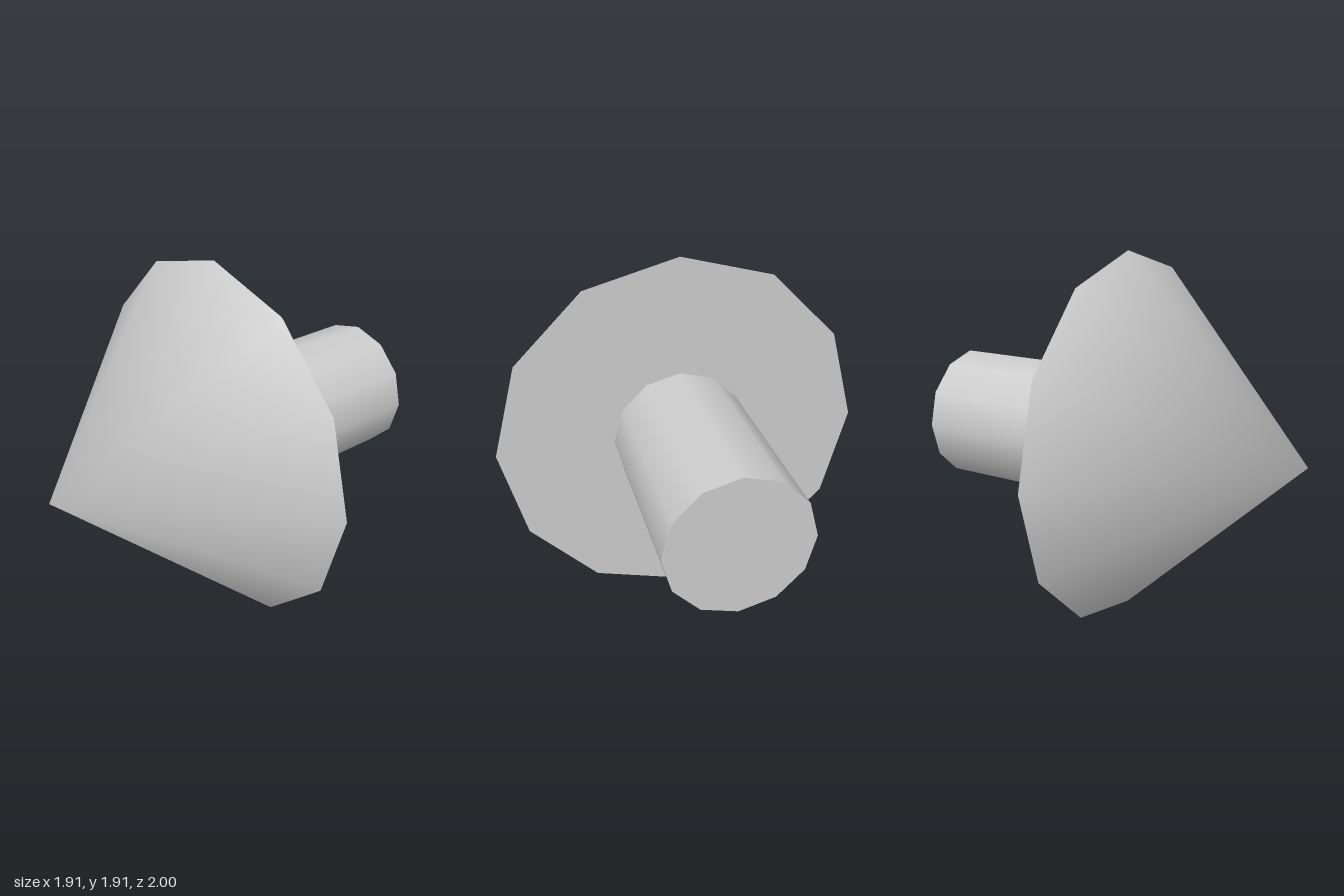
import * as THREE from 'three';

const SIDES = 12;
const RADIUS = 0.955;
const BASE_Z = 0.03;

export function createModel() {
  const group = new THREE.Group();
  group.name = 'arrow';
  const grey = new THREE.MeshStandardMaterial({ color: 0xcccccc });
  grey.name = 'light grey';

  // Adds a part whose axis runs along z, from z0 (back) to z1 (front)
  const addPart = (name, geometry, z0, z1) => {
    geometry.rotateX(Math.PI / 2);
    const mesh = new THREE.Mesh(geometry, grey);
    mesh.name = name;
    mesh.position.set(0, RADIUS, (z0 + z1) / 2);
    group.add(mesh);
  };

  // Pointed head, with the tip smoothed to a single forward normal
  const headLength = 1 - BASE_Z;
  const head = new THREE.ConeGeometry(RADIUS, headLength, SIDES);
  const { position, normal } = head.attributes;
  for (let i = 0; i < position.count; i++) {
    if (position.getY(i) > headLength / 2 - 0.001) normal.setXYZ(i, 0, 1, 0);
  }
  addPart('head', head, BASE_Z, 1);

  // Straight shaft behind the head
  addPart('shaft', new THREE.CylinderGeometry(0.35, 0.35, 1 + BASE_Z, SIDES), -1, BASE_Z);

  return group;
}
